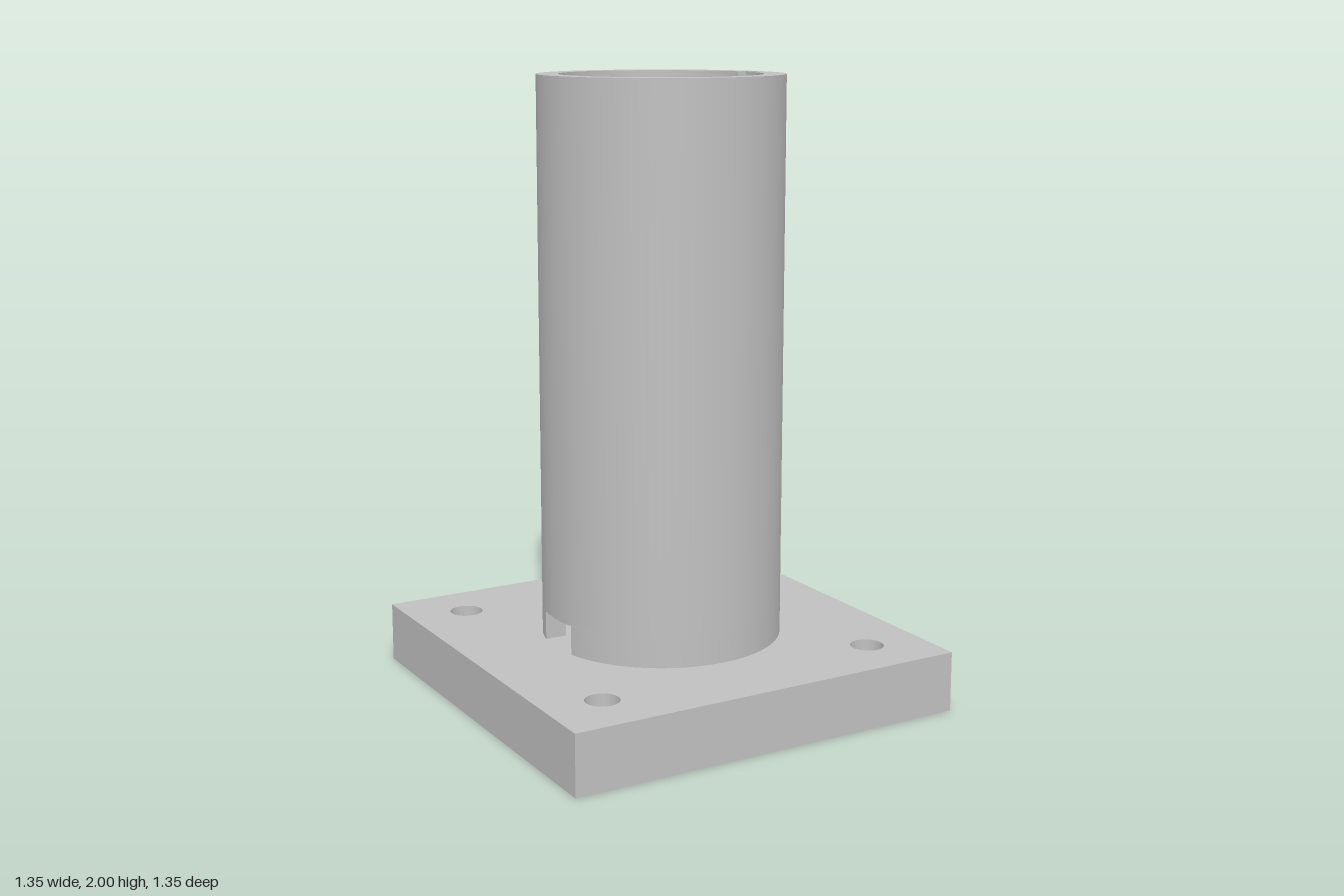
import * as THREE from 'three';
import { toCreasedNormals } from 'three/addons/utils/BufferGeometryUtils.js';

const OUTER = 0.39, BORE = 0.32;
const PLATE_TOP = 0.195, SLOT_TOP = 0.29, TOP = 2;
const SLOT = 0.0875; // half width of the cross slot
const KEY = 0.05, KEY_X = 0.345; // half width and reach of the keyway

export function createModel() {
  const model = new THREE.Group();
  const steel = new THREE.MeshStandardMaterial({ color: 0xc0c0c0 });
  steel.name = 'steel grey';

  // Extrudes a ground-plan shape upwards between two heights
  const addPart = (name, shape, y0, y1) => {
    const solid = new THREE.ExtrudeGeometry(shape, { depth: y1 - y0, bevelEnabled: false, curveSegments: 48 });
    solid.rotateX(-Math.PI / 2).translate(0, y0, 0);
    const mesh = new THREE.Mesh(toCreasedNormals(solid, 0.5), steel);
    mesh.name = name;
    model.add(mesh);
  };

  // Square base plate with four bolt holes
  const h = 0.675;
  const plate = new THREE.Shape([[-h, -h], [h, -h], [h, h], [-h, h]].map(([x, y]) => new THREE.Vector2(x, y)));
  for (const x of [-0.483, 0.483]) for (const y of [-0.483, 0.483]) {
    plate.holes.push(new THREE.Path().absarc(x, y, 0.054, 0, Math.PI * 2));
  }
  addPart('basePlate', plate, 0, PLATE_TOP);

  // Tube with a keyway cut along the bore
  const tube = new THREE.Shape().absarc(0, 0, OUTER, 0, Math.PI * 2);
  const k = Math.asin(KEY / BORE);
  const bore = new THREE.Path().absarc(0, 0, BORE, k, Math.PI * 2 - k);
  bore.lineTo(KEY_X, -KEY).lineTo(KEY_X, KEY).closePath();
  tube.holes.push(bore);
  addPart('tube', tube, SLOT_TOP, TOP);

  // Foot of the tube: two wall arcs either side of the cross slot
  const a = Math.asin(SLOT / OUTER), b = Math.asin(SLOT / BORE);
  for (const [name, turn] of [['tubeFootBack', 0], ['tubeFootFront', Math.PI]]) {
    const wall = new THREE.Shape().absarc(0, 0, OUTER, turn + a, turn + Math.PI - a);
    wall.absarc(0, 0, BORE, turn + Math.PI - b, turn + b, true).closePath();
    addPart(name, wall, PLATE_TOP, SLOT_TOP);
  }
  return model;
}
